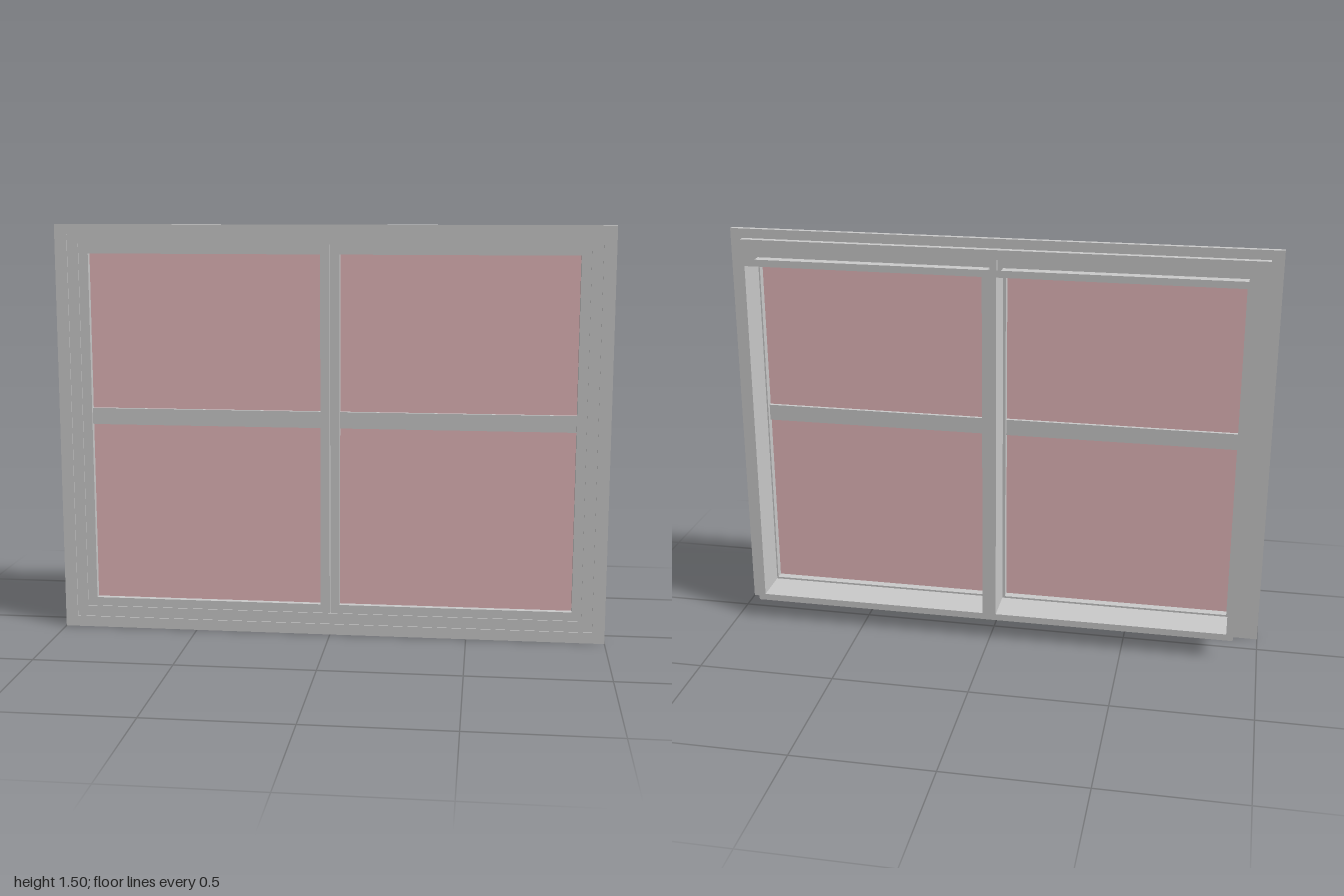
import * as THREE from 'three';

export function createModel() {
  const model = new THREE.Group();
  const grey = new THREE.MeshStandardMaterial({ color: 0xcccccc });
  const thin = new THREE.MeshStandardMaterial({ color: 0xcccccc, side: THREE.DoubleSide });
  const pink = new THREE.MeshStandardMaterial({ color: 0xe6b9bc, side: THREE.DoubleSide });

  const add = (name, geometry, material = grey) => {
    const mesh = new THREE.Mesh(geometry, material);
    mesh.name = name;
    model.add(mesh);
    return mesh;
  };

  // rectangles are [x0, y0, x1, y1]
  const corners = ([x0, y0, x1, y1]) =>
    [[x0, y0], [x1, y0], [x1, y1], [x0, y1]].map(([x, y]) => new THREE.Vector2(x, y));
  const mirror = ([x0, y0, x1, y1]) => [-x1, y0, -x0, y1];

  const plate = (outer, holes) => {
    const shape = new THREE.Shape(corners(outer));
    for (const h of holes) shape.holes.push(new THREE.Path(corners(h)));
    return shape;
  };
  const ring = (name, outer, holes, z0, z1) => {
    const g = new THREE.ExtrudeGeometry(plate(outer, holes), { depth: z1 - z0, bevelEnabled: false });
    add(name, g.translate(0, 0, z0));
  };

  // four walls around a rectangle, facing inwards
  const lining = (name, rect, z0, z1, material) => {
    const c = corners(rect), pos = [];
    c.forEach((a, i) => {
      const b = c[(i + 1) % 4];
      pos.push(a.x, a.y, z0, b.x, b.y, z1, b.x, b.y, z0);
      pos.push(a.x, a.y, z0, a.x, a.y, z1, b.x, b.y, z1);
    });
    const g = new THREE.BufferGeometry();
    g.setAttribute('position', new THREE.Float32BufferAttribute(pos, 3));
    g.computeVertexNormals();
    add(name, g, material);
  };

  const frameOuter = [-0.955, 0.04, 0.955, 1.465];
  const sashOuter = [-0.915, 0.08, 0.915, 1.43];
  const pane = [0.035, 0.112, 0.88, 1.395];
  const reveal = [0.025, 0.105, 0.885, 1.405];

  // stepped front frame
  ring('frontCasing', [-1, 0, 1, 1.5], [frameOuter], 0.08, 0.1);
  ring('windowFrame', frameOuter, [sashOuter], 0.055, 0.096);

  // flat trim around both openings at the back
  const trim = new THREE.ShapeGeometry(plate([-0.91, 0.08, 0.91, 1.43], [reveal, mirror(reveal)]));
  add('backTrim', trim.translate(0, 0, -0.1), thin);

  for (const [side, flip] of [['left', (r) => r], ['right', mirror]]) {
    const s = side === 'left' ? 1 : -1;
    const p = flip(pane);
    const w = p[2] - p[0], cx = (p[0] + p[2]) / 2;

    // sash with its glazing lining
    ring(side + 'Sash', flip([0.001, 0.08, 0.915, 1.43]), [p], 0.055, 0.092);
    lining(side + 'SashLining', p, 0.04, 0.055, grey);

    // glass and the bar across it
    const glass = new THREE.PlaneGeometry(w, p[3] - p[1]);
    add(side + 'Glass', glass, pink).position.set(cx, (p[1] + p[3]) / 2, 0.07);
    add(side + 'Crossbar', new THREE.BoxGeometry(w, 0.06, 0.026)).position.set(cx, 0.8, 0.07);

    // deep reveal behind the sash
    lining(side + 'Reveal', flip(reveal), -0.1, 0.04, thin);

    // small catch on the back of the sash
    add(side + 'Catch', new THREE.BoxGeometry(0.018, 0.06, 0.01)).position.set(s * 0.9, 0.8, 0.05);
  }
  return model;
}
